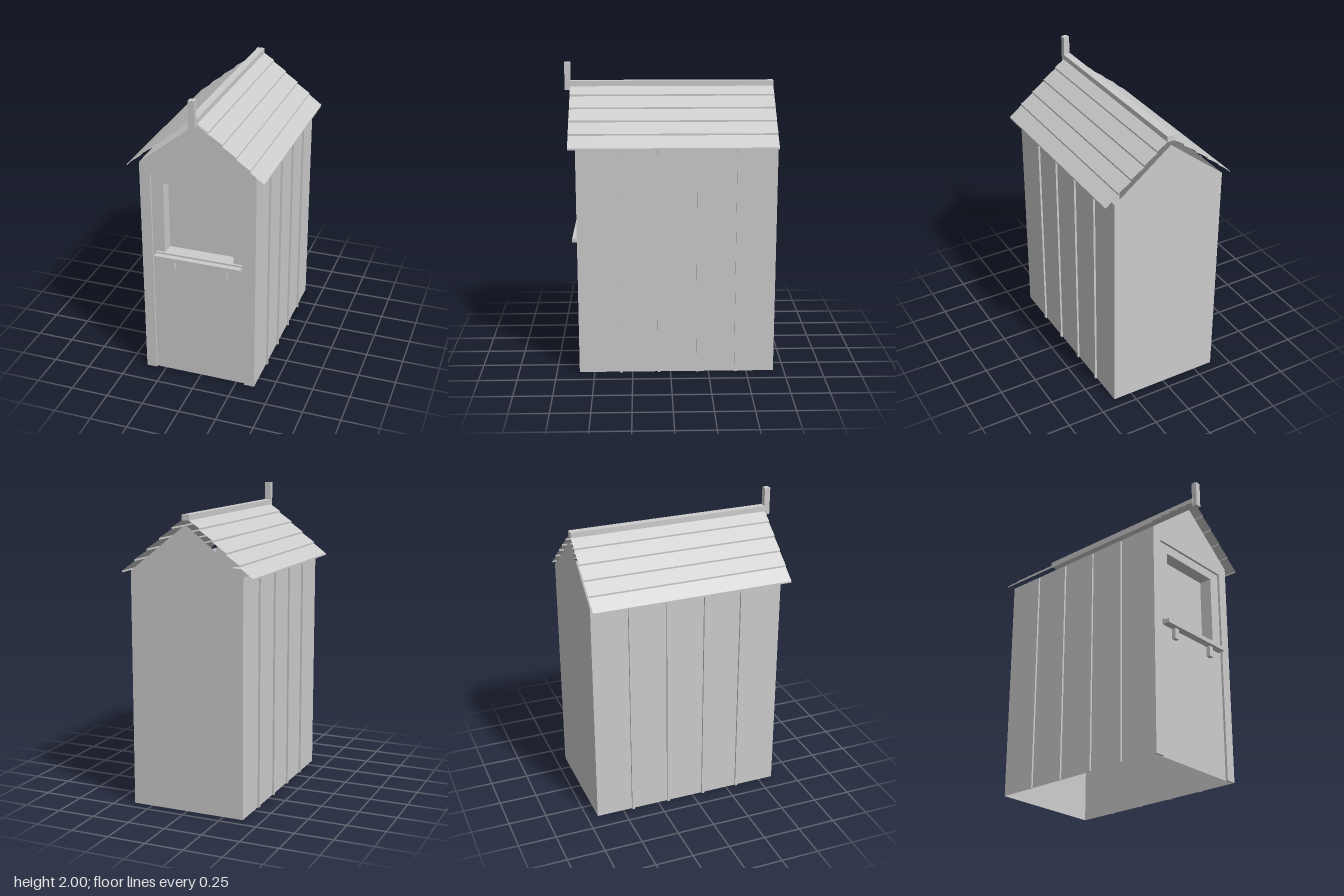
import * as THREE from 'three';

export function createModel() {
  const group = new THREE.Group();
  group.name = 'sentryHut';
  const grey = new THREE.MeshStandardMaterial({ color: 0xcccccc, side: THREE.DoubleSide });
  grey.name = 'pale grey';

  const W = 0.38, FRONT = 0.6, BACK = -0.68, EAVE = 1.52, APEX = 1.82, ROOF_FRONT = 0.645;

  function add(name, geometry, x = 0, y = 0, z = 0) {
    const mesh = new THREE.Mesh(geometry, grey);
    mesh.name = name;
    mesh.position.set(x, y, z);
    group.add(mesh);
    return mesh;
  }
  // Box given by its lower and upper limits
  function box(name, x0, x1, y0, y1, z0, z1) {
    return add(name, new THREE.BoxGeometry(x1 - x0, y1 - y0, z1 - z0),
      (x0 + x1) / 2, (y0 + y1) / 2, (z0 + z1) / 2);
  }
  const polygon = (points) => new THREE.Shape(points.map(([x, y]) => new THREE.Vector2(x, y)));
  const rect = (x0, x1, y0, y1) => [[x0, y0], [x1, y0], [x1, y1], [x0, y1]];

  // Back wall with its gable, facing backwards
  add('backWall', new THREE.ShapeGeometry(
    polygon([[-W, 0], [W, 0], [W, EAVE], [0, APEX], [-W, EAVE]])), 0, 0, BACK)
    .rotation.y = Math.PI;

  // Front gable
  add('frontGable', new THREE.ShapeGeometry(polygon([[-W, EAVE], [W, EAVE], [0, APEX]])), 0, 0, FRONT);

  // Front frame: two posts and a lintel
  box('frameRight', -W, -0.31, 0, EAVE, FRONT - 0.015, FRONT);
  box('frameLeft', 0.31, W, 0, EAVE, FRONT - 0.015, FRONT);
  box('frameTop', -0.31, 0.31, 1.45, EAVE, FRONT - 0.015, FRONT);

  // Front panel with the window opening
  const panel = polygon(rect(-0.31, 0.31, 0, 1.45));
  panel.holes.push(polygon(rect(-0.23, 0.23, 0.9, 1.39)));
  add('frontPanel', new THREE.ShapeGeometry(panel), 0, 0, FRONT - 0.015);

  // Window recess: reveals and pane
  const zr = FRONT - 0.1;
  add('windowPane', new THREE.PlaneGeometry(0.46, 0.49), 0, 1.145, zr);
  for (const s of [-1, 1]) {
    add('windowJamb', new THREE.PlaneGeometry(0.085, 0.49), s * 0.23, 1.145, zr + 0.0425)
      .rotation.y = -s * Math.PI / 2;
    add('windowReveal', new THREE.PlaneGeometry(0.46, 0.085), 0, 1.145 + s * 0.245, zr + 0.0425)
      .rotation.x = s * Math.PI / 2;
  }

  // Counter shelf and brackets
  box('counter', -0.287, 0.287, 0.865, 0.892, FRONT - 0.015, 0.636);
  box('counterBack', -0.287, 0.287, 0.892, 0.903, FRONT - 0.015, FRONT);
  for (const s of [-1, 1]) {
    const x = s * 0.176;
    box('counterBracket', x - 0.018, x + 0.018, 0.795, 0.865, FRONT - 0.015, 0.612);
  }

  // Stepped roof profile: each board drops to a small lip above the next
  const edges = [[0, 1.86], [0.092, 1.79], [0.18, 1.72], [0.267, 1.65], [0.354, 1.58], [0.441, 1.505]];
  const profile = [edges[0]];
  for (const [x, y] of edges.slice(1)) profile.push([x, y + 0.011], [x, y]);
  const verts = [];
  for (let i = 0; i < profile.length - 1; i++) {
    const [px, py] = profile[i], [qx, qy] = profile[i + 1];
    const a = [px, py, ROOF_FRONT], b = [qx, qy, ROOF_FRONT], c = [qx, qy, BACK], d = [px, py, BACK];
    verts.push(...a, ...b, ...c, ...a, ...c, ...d);
  }
  const roof = new THREE.BufferGeometry();
  roof.setAttribute('position', new THREE.Float32BufferAttribute(verts, 3));
  roof.computeVertexNormals();

  // Side walls, battens and roof slopes, mirrored
  for (const s of [-1, 1]) {
    add('sideWall', new THREE.PlaneGeometry(FRONT - BACK, EAVE), s * W, EAVE / 2, (FRONT + BACK) / 2)
      .rotation.y = s * Math.PI / 2;
    for (const z of [0.325, 0.075, -0.178, -0.43]) {
      const x = s * (W + 0.0065);
      box('batten', x - 0.0065, x + 0.0065, 0, 1.51, z - 0.009, z + 0.009);
    }
    add('roofBoards', roof).scale.x = s;
  }

  // Ridge beam and finial post
  box('ridgeBeam', -0.025, 0.025, 1.845, 1.88, BACK, ROOF_FRONT);
  box('finialPost', -0.02, 0.02, 1.82, 2, 0.642, 0.68);

  for (const child of group.children) child.position.x -= 0.003;
  return group;
}
